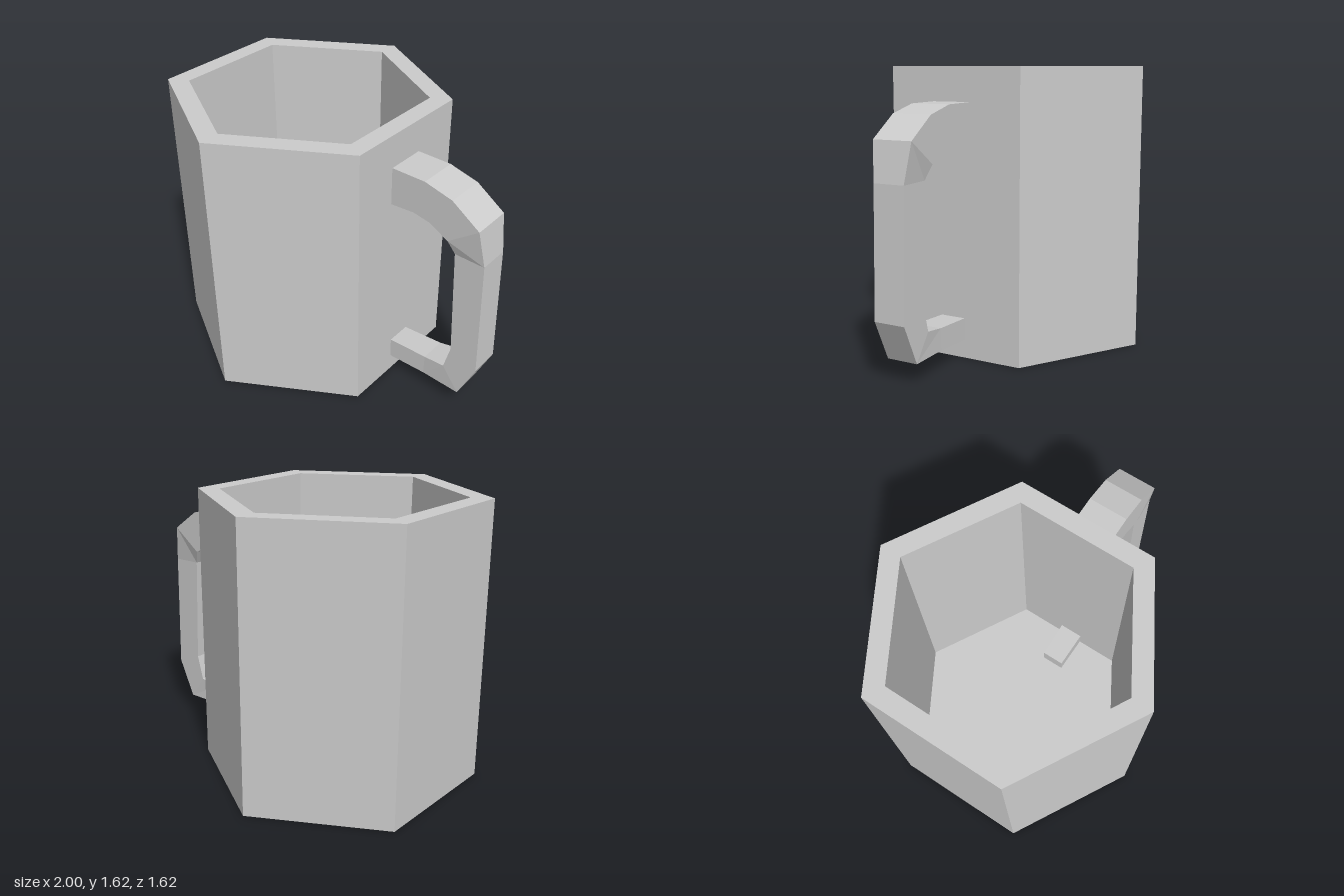
import * as THREE from 'three';

const material = new THREE.MeshStandardMaterial({ color: 0xcccccc, flatShading: true });

// Hexagonal cup: closed wall profile turned in six steps
function createCup() {
  const profile = [
    [0, 0], [0.81, 0], [0.81, 1.625], [0.685, 1.625], [0.685, 0.12], [0, 0.12],
  ].map(([r, y]) => new THREE.Vector2(r, y));
  const geometry = new THREE.LatheGeometry(profile, 6).toNonIndexed();
  geometry.computeVertexNormals();
  const cup = new THREE.Mesh(geometry, material);
  cup.name = 'cup';
  cup.position.x = -0.297;
  return cup;
}

// Handle: four-cornered sections joined in order from the top arm to the bottom arm
function createHandle() {
  // outer x, outer y, inner x, inner y, half width
  const sections = [
    [0.35, 1.435, 0.35, 1.21, 0.117],
    [0.61, 1.43, 0.55, 1.22, 0.117],
    [0.78, 1.385, 0.65, 1.20, 0.117],
    [0.95, 1.265, 0.77, 1.135, 0.117],
    [0.985, 1.05, 0.805, 1.055, 0.092],
    [1.0, 0.34, 0.83, 0.41, 0.092],
    [0.895, 0.115, 0.79, 0.26, 0.092],
    [0.65, 0.115, 0.655, 0.24, 0.08],
    [0.07, 0.092, 0.07, 0.215, 0.068],
  ];
  const zMid = 0.016;
  const positions = [];
  for (const [ox, oy, ix, iy, w] of sections) {
    positions.push(ox, oy, zMid + w, ox, oy, zMid - w, ix, iy, zMid - w, ix, iy, zMid + w);
  }

  const index = [0, 1, 2, 0, 2, 3]; // first end
  for (let s = 0; s < sections.length - 1; s++) {
    for (let j = 0; j < 4; j++) {
      const a = s * 4 + j;
      const d = s * 4 + (j + 1) % 4;
      index.push(a, a + 4, d + 4, a, d + 4, d);
    }
  }
  const e = (sections.length - 1) * 4;
  index.push(e, e + 2, e + 1, e, e + 3, e + 2); // last end

  const indexed = new THREE.BufferGeometry();
  indexed.setAttribute('position', new THREE.Float32BufferAttribute(positions, 3));
  indexed.setIndex(index);
  const geometry = indexed.toNonIndexed();
  geometry.computeVertexNormals();
  const handle = new THREE.Mesh(geometry, material);
  handle.name = 'handle';
  return handle;
}

export function createModel() {
  const mug = new THREE.Group();
  mug.name = 'mug';
  mug.add(createCup(), createHandle());
  return mug;
}
